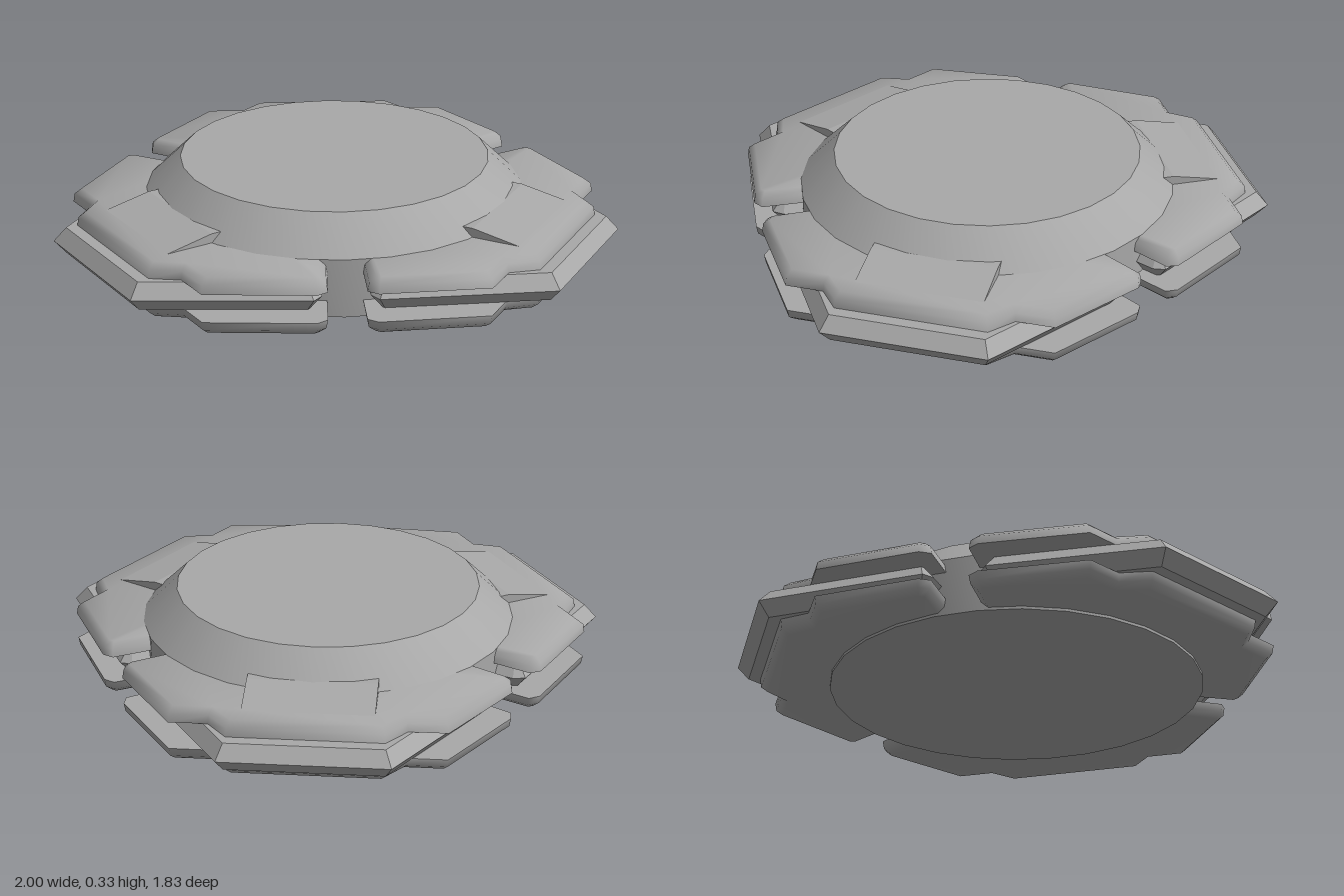
import * as THREE from 'three';
import { toCreasedNormals } from 'three/addons/utils/BufferGeometryUtils.js';

// Mirror a half outline (outer edge to hub) into a counter-clockwise loop
const mirrored = half => [
  ...[...half].reverse().map(([u, v]) => new THREE.Vector2(u, v)),
  ...half.map(([u, v]) => new THREE.Vector2(-u, v)),
];

// Move every edge of a loop inwards by d, keeping mitred corners
function inset(loop, d) {
  const n = loop.length;
  return loop.map((p, i) => {
    const a = p.clone().sub(loop[(i + n - 1) % n]).normalize();
    const b = loop[(i + 1) % n].clone().sub(p).normalize();
    const na = new THREE.Vector2(-a.y, a.x), nb = new THREE.Vector2(-b.y, b.x);
    const m = na.clone().add(nb);
    return p.clone().addScaledVector(m, d / (1 + na.dot(nb)));
  });
}

// Stack inset copies of an outline from bottom to top and cap both ends
function loft(loop, levels, crease) {
  const n = loop.length, pos = [], idx = [];
  for (const [y, d] of levels) for (const p of inset(loop, d)) pos.push(p.x, y, -p.y);
  for (let k = 0; k < levels.length - 1; k++) {
    for (let i = 0; i < n; i++) {
      const a = k * n + i, b = k * n + (i + 1) % n;
      idx.push(a, b, b + n, a, b + n, a + n);
    }
  }
  const top = (levels.length - 1) * n;
  for (const [a, b, c] of THREE.ShapeUtils.triangulateShape(inset(loop, levels[0][1]), [])) idx.push(c, b, a);
  for (const [a, b, c] of THREE.ShapeUtils.triangulateShape(inset(loop, levels.at(-1)[1]), [])) idx.push(top + a, top + b, top + c);
  const g = new THREE.BufferGeometry();
  g.setAttribute('position', new THREE.Float32BufferAttribute(pos, 3));
  g.setIndex(idx);
  return toCreasedNormals(g, crease);
}

export function createModel() {
  const model = new THREE.Group();
  model.name = 'threeLobedDisc';
  const grey = new THREE.MeshStandardMaterial({ color: 0xa8a8a8 });
  grey.name = 'grey';
  const add = (parent, name, geometry) => {
    const mesh = new THREE.Mesh(geometry, grey);
    mesh.name = name;
    parent.add(mesh);
  };

  const body = new THREE.Group();
  body.name = 'body';
  body.position.z = 0.067;
  model.add(body);

  // Round hub with a sloped shoulder and flat top
  const profile = [[0, 0], [0.68, 0], [0.68, 0.21], [0.555, 0.33], [0, 0.33]];
  const hub = new THREE.LatheGeometry(profile.map(p => new THREE.Vector2(...p)), 28);
  add(body, 'hub', toCreasedNormals(hub, 0.5));

  // Outer shell: stepped centre edge and two wings
  const shell = mirrored([[0.265, 0.905], [0.335, 0.82], [0.47, 0.82], [0.68, 0.51], [0.678, 0.466], [0.45, 0.325]]);
  const upper = loft(shell, [[0.16, 0], [0.19, 0.005], [0.21, 0.028]], 1.1);
  const lower = loft(shell, [[0.01, 0.028], [0.03, 0.005], [0.06, 0]], 1.1);

  // Middle layer: pointed rim that projects at the centre
  const core = mirrored([[0.29, 0.987], [0.62, 0.484], [0.603, 0.442], [0.45, 0.335]]);
  const rim = loft(core, [[0.06, 0.04], [0.11, 0], [0.16, 0.04]], 0.4);

  // Raised pad leaning against the hub shoulder
  const padShape = new THREE.Shape([[0.45, 0.2], [0.82, 0.2], [0.81, 0.21], [0.64, 0.243], [0.45, 0.243]]
    .map(p => new THREE.Vector2(...p)));
  const pad = new THREE.ExtrudeGeometry(padShape, { depth: 0.45, bevelEnabled: false });
  pad.rotateY(Math.PI / 2).translate(-0.225, 0, 0);

  // Three equal lobes around the hub
  for (let i = 0; i < 3; i++) {
    const lobe = new THREE.Group();
    lobe.name = ['backLobe', 'frontRightLobe', 'frontLeftLobe'][i];
    lobe.rotation.y = i * Math.PI * 2 / 3;
    add(lobe, 'upperShell', upper);
    add(lobe, 'lowerShell', lower);
    add(lobe, 'middleRim', rim);
    add(lobe, 'shoulderPad', pad);
    body.add(lobe);
  }
  return model;
}
